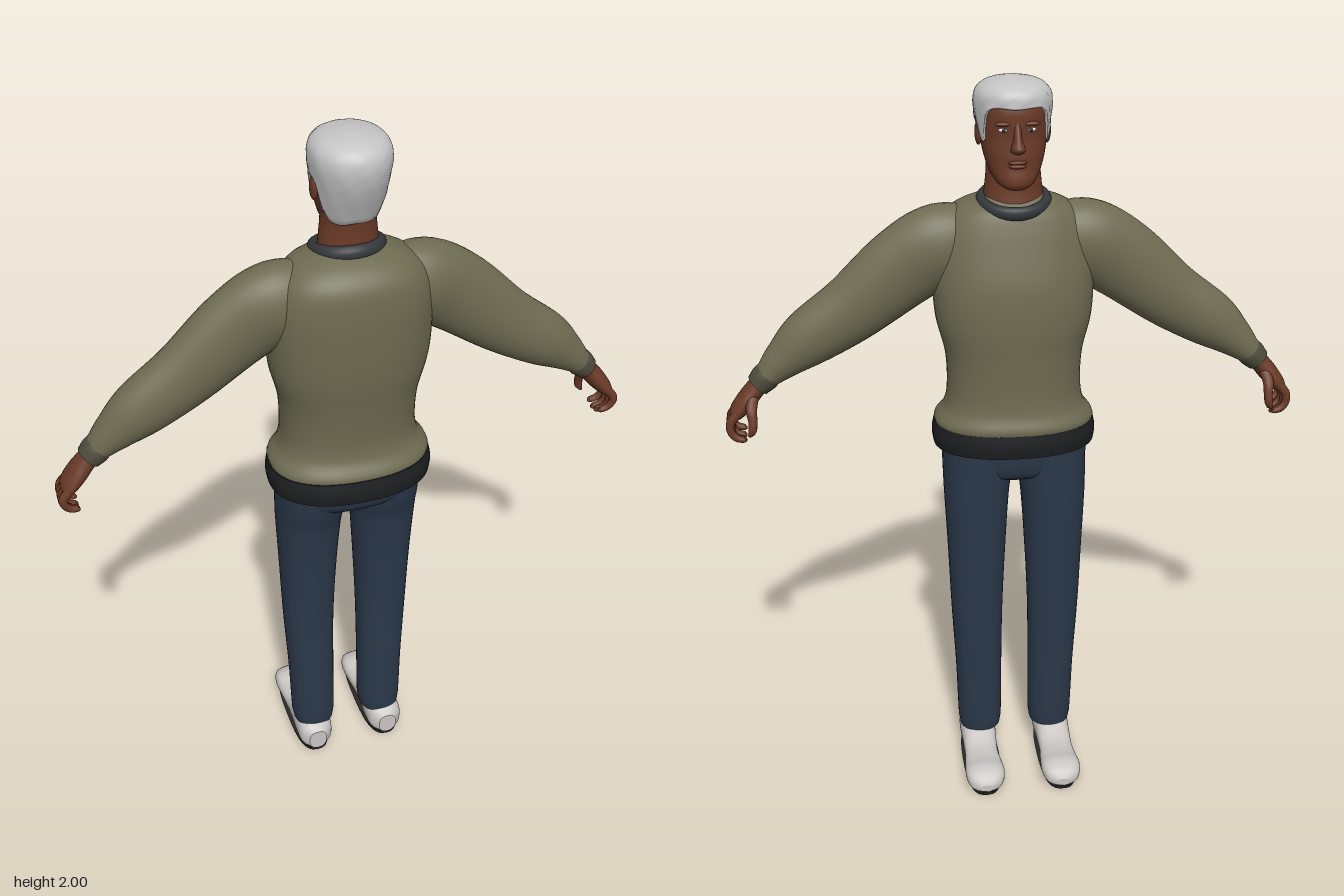
import * as THREE from 'three';

const V = (x, y, z) => new THREE.Vector3(x, y, z);
const mat = (name, color) => {
  const m = new THREE.MeshStandardMaterial({ color });
  m.name = name;
  return m;
};

// Smooth lookup in rows of [key, ...values], keys ascending
function sample(rows, key) {
  let i = 0;
  while (i < rows.length - 2 && key > rows[i + 1][0]) i++;
  const b = rows[i], c = rows[i + 1];
  const a = rows[Math.max(i - 1, 0)], d = rows[Math.min(i + 2, rows.length - 1)];
  const h = c[0] - b[0], t = (key - b[0]) / h;
  return b.map((_, k) => {
    if (k === 0) return key;
    const m0 = (c[k] - a[k]) / (c[0] - a[0]) * h, m1 = (d[k] - b[k]) / (d[0] - b[0]) * h;
    const t2 = t * t, t3 = t2 * t;
    return (2 * t3 - 3 * t2 + 1) * b[k] + (t3 - 2 * t2 + t) * m0 + (3 * t2 - 2 * t3) * c[k] + (t3 - t2) * m1;
  });
}

// Point on a rounded outline given by bounds; angle 0 faces the low side of v
function outline(u0, u1, v0, v1, a, power) {
  const f = (s) => Math.sign(s) * Math.pow(Math.abs(s), 2 / power);
  return [(u0 + u1) / 2 + (u1 - u0) / 2 * f(Math.sin(a)), (v0 + v1) / 2 - (v1 - v0) / 2 * f(Math.cos(a))];
}

// Closed skin over rings of points, with capped ends, always facing outward
function skin(rings) {
  const n = rings[0].length, pts = rings.flat(), idx = [];
  for (let r = 0; r < rings.length - 1; r++) for (let i = 0; i < n; i++) {
    const j = (i + 1) % n, a = r * n + i, b = r * n + j;
    idx.push(a, b, b + n, a, b + n, a + n);
  }
  [rings[0], rings[rings.length - 1]].forEach((ring, end) => {
    const s = pts.length, mid = V(0, 0, 0);
    ring.forEach((p) => mid.addScaledVector(p, 1 / n));
    pts.push(...ring, mid);
    for (let i = 0; i < n; i++) {
      const j = (i + 1) % n;
      if (end) idx.push(s + i, s + j, s + n); else idx.push(s + j, s + i, s + n);
    }
  });
  let vol = 0;
  for (let i = 0; i < idx.length; i += 3) {
    vol += pts[idx[i]].dot(V(0, 0, 0).crossVectors(pts[idx[i + 1]], pts[idx[i + 2]]));
  }
  if (vol < 0) idx.reverse();
  const g = new THREE.BufferGeometry().setFromPoints(pts);
  g.setIndex(idx);
  g.computeVertexNormals();
  return g;
}

// Loft of [key, u0, u1, v0, v1]: along y (u = x, v = z) or along z (u = x, v = y)
function loft(rows, { axis = 'y', power = 2, n = 40, steps = 32 } = {}) {
  const rings = [], k0 = rows[0][0], k1 = rows[rows.length - 1][0];
  for (let s = 0; s <= steps; s++) {
    const [k, ...b] = sample(rows, k0 + (k1 - k0) * s / steps);
    rings.push(Array.from({ length: n }, (_, i) => {
      const [u, v] = outline(...b, i / n * Math.PI * 2, power);
      return axis === 'y' ? V(u, k, v) : V(u, v, k);
    }));
  }
  return skin(rings);
}
const sym = (rows) => rows.map(([k, r, v0, v1]) => [k, -r, r, v0, v1]);

// Limb along a path of [x, y, z, radius in the xy plane, radius in z]
function limb(rows, n = 24, steps = 28) {
  const keyed = rows.map((r, i) => [i, ...r]), last = rows.length - 1, rings = [];
  for (let s = 0; s <= steps; s++) {
    const k = last * s / steps, [, x, y, z, ra, rz] = sample(keyed, k);
    const p = sample(keyed, Math.max(k - 0.1, 0)), q = sample(keyed, Math.min(k + 0.1, last));
    const side = V(p[2] - q[2], q[1] - p[1], 0).normalize();
    rings.push(Array.from({ length: n }, (_, i) => {
      const a = i / n * Math.PI * 2, c = Math.cos(a) * ra;
      return V(x + side.x * c, y + side.y * c, z + Math.sin(a) * rz);
    }));
  }
  return skin(rings);
}

const ball = (x, y, z, rx, ry, rz) => new THREE.SphereGeometry(1, 20, 14).scale(rx, ry, rz).translate(x, y, z);

function mirrored(geo) {
  const g = geo.clone().scale(-1, 1, 1);
  g.setIndex(Array.from(geo.index.array).reverse());
  g.computeVertexNormals();
  return g;
}

// Short hair: a shell whose lower edge follows the hairline
function hairGeometry() {
  const shape = sym([[1.76, 0.074, -0.038, 0.112], [1.82, 0.087, -0.04, 0.138], [1.86, 0.092, -0.042, 0.155],
    [1.9, 0.097, -0.044, 0.168], [1.94, 0.1, -0.045, 0.172], [1.97, 0.092, -0.038, 0.161], [1.99, 0.064, -0.008, 0.13],
    [2, 0.015, 0.045, 0.085]]);
  const line = [[0, 1.935], [0.65, 1.935], [0.9, 1.91], [1.05, 1.855], [1.25, 1.855], [1.4, 1.89], [1.8, 1.89],
    [2.1, 1.82], [2.4, 1.785], [3.2, 1.785]];
  const n = 72, steps = 30, rings = [];
  for (let s = -1; s <= steps; s++) {
    rings.push(Array.from({ length: n }, (_, i) => {
      const a = i / n * Math.PI * 2, away = Math.min(a, Math.PI * 2 - a);
      const low = sample(line, away)[1], t = Math.max(s, 0) / steps;
      const y = low + (2 - low) * (1 - (1 - t) * (1 - t));
      const [, ...b] = sample(shape, y);
      const [x, z] = outline(...b, a, 2.1);
      const k = s < 0 ? 0.86 : 1 + 0.012 * Math.sin(a * 11 + y * 60) * Math.sin(y * 110) * (1 - t);
      return V(x * k, y, 0.062 + (z - 0.062) * k);
    }));
  }
  return skin(rings);
}

export function createModel() {
  const model = new THREE.Group();
  model.name = 'standingMan';
  const sweater = mat('olive knit', 0x6e6b52), trim = mat('dark knit trim', 0x34373a), belt = mat('black hem', 0x1d1e20);
  const denim = mat('navy denim', 0x2b384a), skinTone = mat('brown skin', 0x6a3a27), hair = mat('silver hair', 0xc4c4c4);
  const shoe = mat('pale shoe', 0xc8c5c3), sole = mat('dark sole', 0x2a2827), white = mat('eye white', 0xe4e0da);
  const cuff = mat('cuff knit', 0x4d4b3b);
  const add = (name, geo, material, parent = model) => {
    const m = new THREE.Mesh(geo, material);
    m.name = name;
    parent.add(m);
  };
  const pair = (name, geo, material) => {
    add(name + 'Left', geo, material);
    add(name + 'Right', mirrored(geo), material);
  };

  // Sweater body, hem and collar
  add('sweaterBody', loft(sym([[1.07, 0.212, -0.092, 0.205], [1.095, 0.217, -0.1, 0.207], [1.13, 0.192, -0.087, 0.185],
    [1.18, 0.181, -0.082, 0.178], [1.28, 0.184, -0.085, 0.187], [1.38, 0.207, -0.09, 0.2], [1.48, 0.213, -0.085, 0.206],
    [1.58, 0.207, -0.062, 0.206], [1.64, 0.185, -0.045, 0.197], [1.675, 0.15, -0.03, 0.172], [1.695, 0.105, -0.005, 0.14],
    [1.705, 0.075, 0.005, 0.11]]), { power: 2.3, n: 56, steps: 60 }), sweater);
  add('sweaterHem', loft(sym([[1.02, 0.22, -0.098, 0.214], [1.05, 0.224, -0.102, 0.217], [1.085, 0.218, -0.098, 0.21]]),
    { power: 2.3, n: 56, steps: 8 }), belt);
  const collar = new THREE.TorusGeometry(0.083, 0.015, 14, 48).rotateX(Math.PI / 2).scale(1, 1.25, 0.95)
    .rotateX(-0.22).translate(0, 1.69, 0.043);
  add('collar', collar, trim);

  // Sleeves and cuffs
  pair('sleeve', limb([[0.1, 1.585, 0.065, 0.085, 0.07], [0.19, 1.573, 0.062, 0.108, 0.083], [0.29, 1.515, 0.06, 0.107, 0.07],
    [0.42, 1.412, 0.062, 0.091, 0.064], [0.54, 1.333, 0.063, 0.077, 0.061], [0.61, 1.278, 0.06, 0.054, 0.05],
    [0.655, 1.237, 0.057, 0.036, 0.04]], 32, 40), sweater);
  pair('cuff', limb([[0.645, 1.246, 0.057, 0.034, 0.039], [0.662, 1.23, 0.057, 0.038, 0.041],
    [0.682, 1.21, 0.056, 0.033, 0.037]], 28, 8), cuff);

  // Hands with curled fingers
  pair('palm', limb([[0.66, 1.232, 0.056, 0.024, 0.03], [0.69, 1.2, 0.055, 0.026, 0.034], [0.715, 1.17, 0.055, 0.026, 0.042],
    [0.742, 1.138, 0.056, 0.021, 0.044], [0.754, 1.122, 0.056, 0.01, 0.036]], 24, 20), skinTone);
  [0.023, 0.045, 0.067, 0.088].forEach((z, i) => {
    const d = [0, 0.008, 0.004, -0.008][i];
    pair('finger' + (i + 1), limb([[0.732, 1.148, z, 0.012, 0.011], [0.758, 1.12, z, 0.0125, 0.0115],
      [0.761, 1.092 - d, z, 0.011, 0.011], [0.748, 1.074 - d, z - 0.002, 0.01, 0.01],
      [0.728, 1.068 - d, z - 0.003, 0.008, 0.009], [0.722, 1.069 - d, z - 0.003, 0.003, 0.003]], 12, 20), skinTone);
  });
  pair('thumb', limb([[0.695, 1.19, 0.035, 0.015, 0.016], [0.702, 1.16, 0.008, 0.015, 0.016], [0.7, 1.13, -0.006, 0.012, 0.012],
    [0.703, 1.105, -0.01, 0.011, 0.011], [0.712, 1.088, -0.008, 0.004, 0.004]], 14, 20), skinTone);

  // Trousers
  add('trouserSeat', loft(sym([[0.925, 0.1, -0.03, 0.095], [0.94, 0.165, -0.052, 0.14], [0.965, 0.188, -0.064, 0.168],
    [1, 0.199, -0.07, 0.18], [1.06, 0.2, -0.075, 0.185]]), { power: 2.3, n: 48, steps: 24 }), denim);
  pair('trouserLeg', loft([[0.09, 0.046, 0.163, -0.018, 0.099], [0.11, 0.042, 0.167, -0.022, 0.101],
    [0.3, 0.04, 0.173, -0.03, 0.098], [0.5, 0.037, 0.183, -0.042, 0.096], [0.7, 0.028, 0.19, -0.054, 0.108],
    [0.88, 0.016, 0.197, -0.066, 0.132], [0.94, 0.006, 0.198, -0.067, 0.152], [1.02, 0, 0.199, -0.07, 0.165]],
    { power: 2.2, steps: 36 }), denim);

  // Shoes
  pair('shoe', loft([[-0.215, 0.092, 0.13, 0.018, 0.04], [-0.203, 0.068, 0.154, 0.012, 0.058], [-0.165, 0.055, 0.167, 0.01, 0.073],
    [-0.11, 0.058, 0.164, 0.01, 0.067], [-0.06, 0.063, 0.16, 0.01, 0.071], [0, 0.061, 0.161, 0.01, 0.098],
    [0.06, 0.058, 0.163, 0.01, 0.106], [0.1, 0.064, 0.158, 0.01, 0.098], [0.12, 0.085, 0.138, 0.015, 0.08]],
    { axis: 'z', power: 2.6, steps: 40 }), shoe);
  pair('sole', loft([[0, 0.06, 0.162, -0.207, 0.115], [0.015, 0.056, 0.166, -0.213, 0.119]], { power: 2.8, steps: 2 }), sole);

  // Neck and head
  add('neck', loft(sym([[1.66, 0.082, -0.015, 0.118], [1.72, 0.075, -0.005, 0.112], [1.77, 0.07, -0.005, 0.112],
    [1.83, 0.07, 0, 0.12]]), { steps: 16 }), skinTone);
  add('head', loft(sym([[1.732, 0.024, -0.03, 0.015], [1.742, 0.042, -0.04, 0.045], [1.76, 0.057, -0.042, 0.078],
    [1.785, 0.069, -0.038, 0.102], [1.82, 0.079, -0.037, 0.124], [1.86, 0.085, -0.034, 0.142], [1.895, 0.087, -0.037, 0.153],
    [1.935, 0.087, -0.034, 0.154], [1.965, 0.072, -0.014, 0.138], [1.985, 0.035, 0.025, 0.1]]),
    { power: 2.25, n: 48, steps: 44 }), skinTone);
  add('hair', hairGeometry(), hair);
  pair('ear', ball(0.087, 1.862, 0.06, 0.01, 0.032, 0.019).rotateX(0), skinTone);

  // Face
  add('nose', loft(sym([[1.826, 0.008, -0.05, -0.02], [1.832, 0.018, -0.064, -0.02], [1.842, 0.018, -0.071, -0.02],
    [1.86, 0.011, -0.058, -0.02], [1.885, 0.009, -0.044, -0.02], [1.9, 0.007, -0.037, -0.02]]), { n: 20, steps: 16 }), skinTone);
  add('upperLip', ball(0, 1.804, -0.036, 0.025, 0.005, 0.009), skinTone);
  add('lowerLip', ball(0, 1.794, -0.035, 0.022, 0.006, 0.009), skinTone);
  pair('eye', ball(0.034, 1.884, -0.027, 0.013, 0.006, 0.008), white);
  pair('iris', ball(0.034, 1.884, -0.033, 0.005, 0.005, 0.003), sole);
  pair('browRidge', ball(0.035, 1.899, -0.03, 0.022, 0.006, 0.009), skinTone);
  return model;
}
